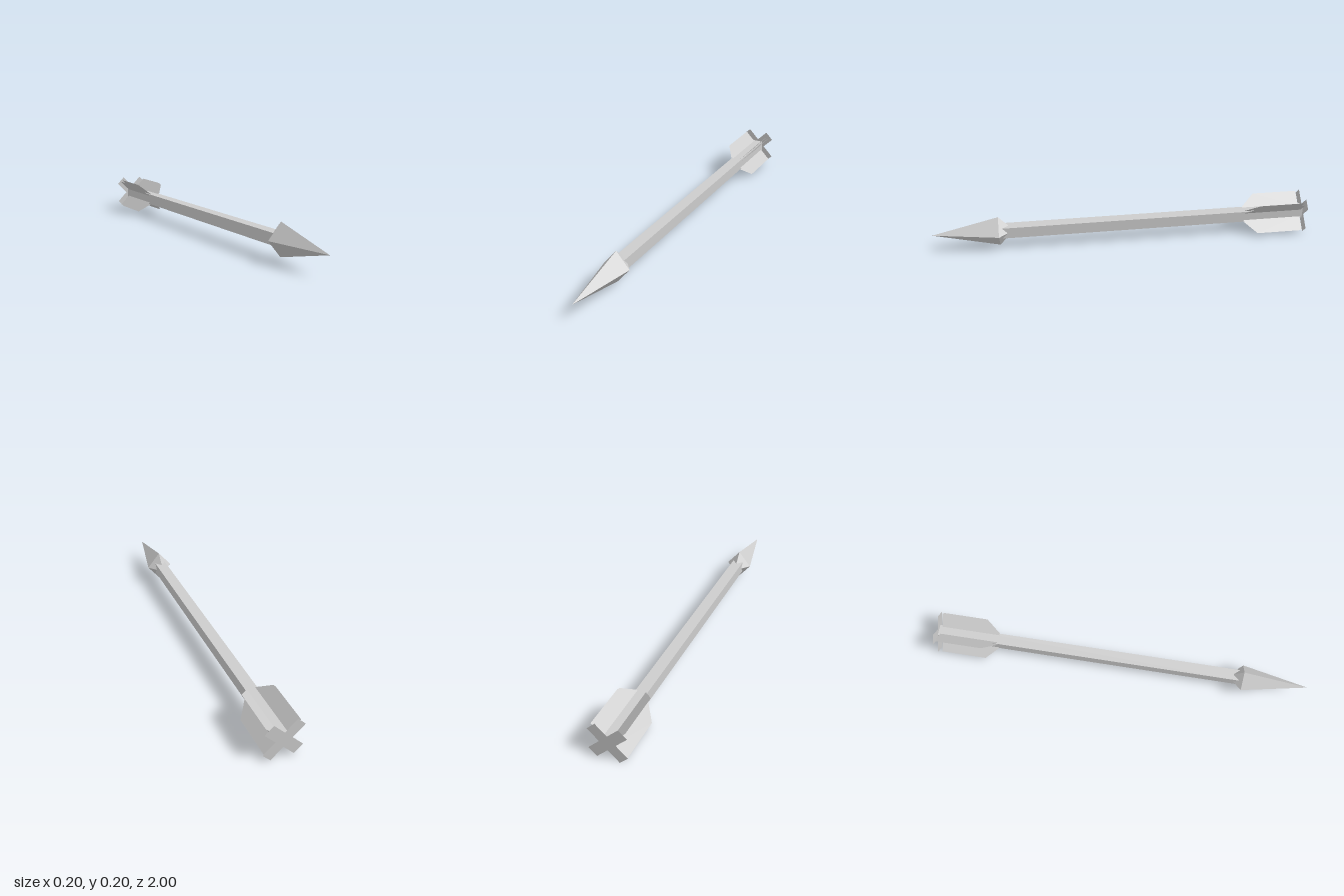
import * as THREE from 'three';

export function createModel() {
  const model = new THREE.Group();
  const grey = new THREE.MeshStandardMaterial({ color: 0xcccccc, side: THREE.DoubleSide });
  grey.name = 'plain grey';
  const axisY = 0.1;

  const add = (name, geometry, z = 0) => {
    const mesh = new THREE.Mesh(geometry, grey);
    mesh.name = name;
    mesh.position.set(0, axisY, z);
    model.add(mesh);
    return mesh;
  };

  // Square shaft, running into the head
  add('shaft', new THREE.BoxGeometry(0.06, 0.06, 1.653), -0.1715);

  // Four-sided head: long point in front, short taper behind
  const pyramid = (length, direction) => {
    const cone = new THREE.ConeGeometry(1, length, 4, 1, true).toNonIndexed();
    cone.rotateX(direction * Math.PI / 2);
    cone.scale(0.07, 0.084, 1);
    cone.computeVertexNormals();
    return cone;
  };
  const baseZ = 0.653, tipZ = 1, backZ = 0.575;
  add('headPoint', pyramid(tipZ - baseZ, 1), (tipZ + baseZ) / 2);
  add('headBack', pyramid(baseZ - backZ, -1), (baseZ + backZ) / 2);

  // Flat diagonal cross closing the tail
  const armAngle = (i) => Math.PI / 4 + i * Math.PI / 2;
  const radii = [0.106, 0.112];
  const widths = [0.059, 0.056];
  const crossPoints = [];
  for (let i = 0; i < 4; i++) {
    const r = radii[i % 2], half = widths[i % 2] / 2, nextHalf = widths[(i + 1) % 2] / 2;
    for (const [along, across] of [[r, -half], [r, half], [nextHalf, half]]) {
      crossPoints.push(new THREE.Vector2(along, across).rotateAround(new THREE.Vector2(), armAngle(i)));
    }
  }
  add('tailCross', new THREE.ShapeGeometry(new THREE.Shape(crossPoints)), -1);

  // Thin diagonal fins: two close parallel sheets with a cut leading corner
  const finSheet = (offset) => {
    const outline = new THREE.Shape([
      new THREE.Vector2(0.025, -0.985),
      new THREE.Vector2(0.112, -0.985),
      new THREE.Vector2(0.112, -0.74),
      new THREE.Vector2(0.042, -0.67),
      new THREE.Vector2(0.025, -0.66),
    ]);
    const geometry = new THREE.ShapeGeometry(outline);
    geometry.rotateX(Math.PI / 2);
    geometry.translate(0, offset, 0);
    return geometry;
  };
  for (let i = 0; i < 4; i++) {
    for (const side of [-1, 1]) {
      add('tailFin' + (i + 1), finSheet(side * 0.0065)).rotation.z = armAngle(i);
    }
  }

  return model;
}
